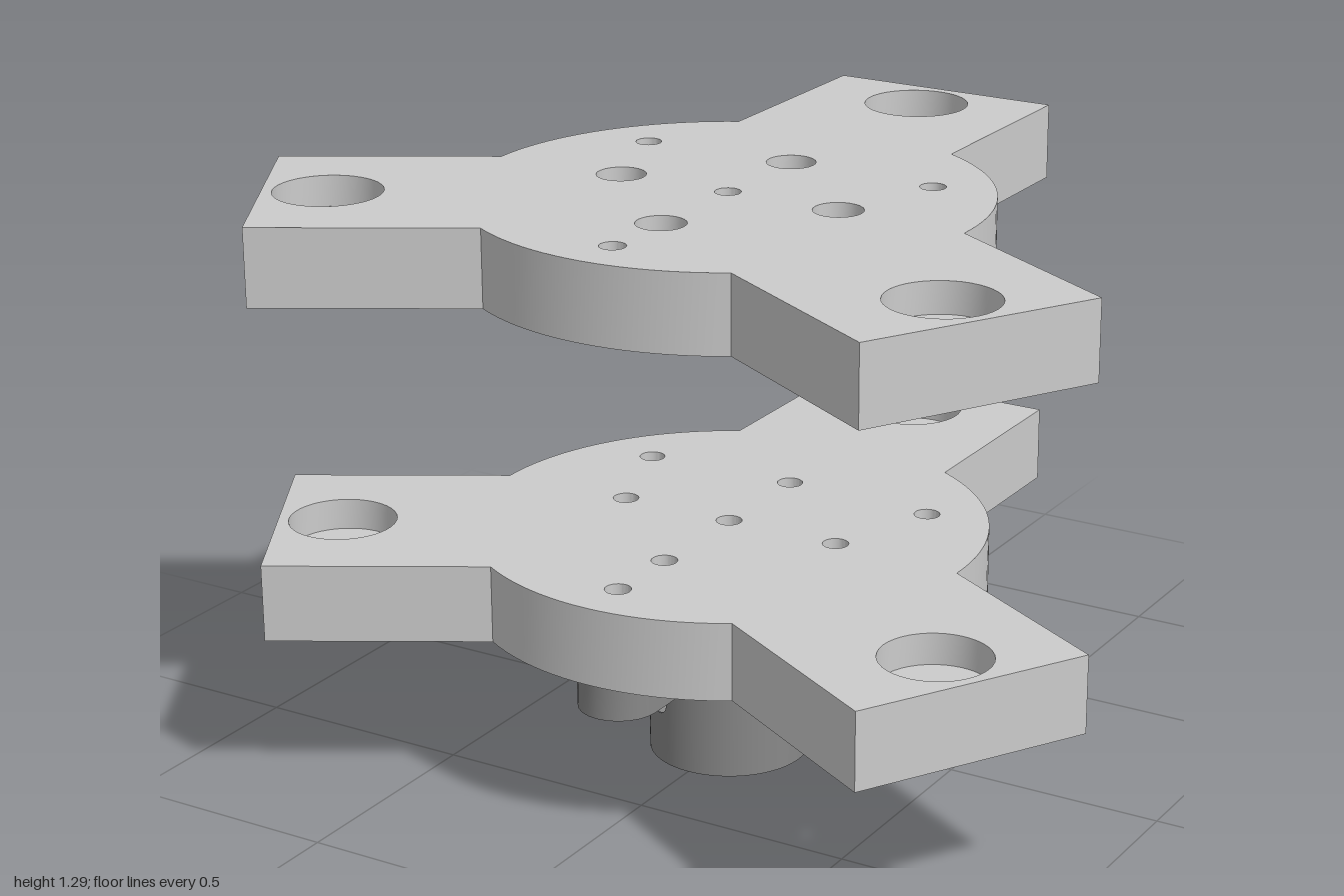
import * as THREE from 'three';
import { mergeGeometries, toCreasedNormals } from 'three/addons/utils/BufferGeometryUtils.js';

const THIRD = Math.PI * 2 / 3;
const CENTER_Z = 0.125;
const light = new THREE.MeshStandardMaterial({ color: 0xcccccc });
const dark = new THREE.MeshStandardMaterial({ color: 0x888888 });
const darkInside = new THREE.MeshStandardMaterial({ color: 0x888888, side: THREE.DoubleSide });

// Plan coordinates: x is right, plan y is towards the back (-z).
const polar = (r, a) => new THREE.Vector2(r * Math.cos(a), r * Math.sin(a));
const local = (x, y, a) => new THREE.Vector2(x, y).rotateAround(new THREE.Vector2(), a);

function circle(c, r, n = 24) {
  return Array.from({ length: n }, (_, i) => polar(r, i / n * Math.PI * 2).add(c));
}

// Rounded slot running from distance d0 to d1 along direction a
function slot(d0, d1, r, a) {
  const pts = [];
  for (let i = 0; i <= 12; i++) {
    const t = -Math.PI / 2 + i / 12 * Math.PI;
    pts.push(local(d1 - r + r * Math.cos(t), r * Math.sin(t), a));
  }
  for (let i = 0; i <= 12; i++) {
    const t = Math.PI / 2 + i / 12 * Math.PI;
    pts.push(local(d0 + r + r * Math.cos(t), r * Math.sin(t), a));
  }
  return pts;
}

// Flat face at height y, facing up or down
function cap(points, holes, y, up) {
  const shape = new THREE.Shape(points);
  shape.holes = holes.map(h => new THREE.Path(h));
  const g = new THREE.ShapeGeometry(shape).rotateX(-Math.PI / 2).translate(0, y, 0);
  if (!up) g.setIndex(Array.from(g.index.array).reverse());
  g.deleteAttribute('uv');
  g.deleteAttribute('normal');
  return g.toNonIndexed();
}

// Upright wall along a closed counter-clockwise loop
function wall(points, y0, y1, inward = false) {
  const pos = [];
  points.forEach((a, i) => {
    let p = a, q = points[(i + 1) % points.length];
    if (inward) [p, q] = [q, p];
    pos.push(p.x, y0, -p.y, q.x, y0, -q.y, q.x, y1, -q.y);
    pos.push(p.x, y0, -p.y, q.x, y1, -q.y, p.x, y1, -p.y);
  });
  const g = new THREE.BufferGeometry();
  g.setAttribute('position', new THREE.Float32BufferAttribute(pos, 3));
  return g;
}

// Disc outline with three square-ended arms
function plateOutline() {
  const R = 0.575, half = 0.274, len = 0.998;
  const s = Math.asin(half / R), pts = [];
  for (let k = 0; k < 3; k++) {
    const a = Math.PI / 2 + k * THIRD;
    pts.push(local(len, -half, a), local(len, half, a));
    for (let i = 0; i <= 20; i++) pts.push(polar(R, a + s + i / 20 * (THIRD - 2 * s)));
  }
  return pts;
}

const hubTips = [new THREE.Vector2(0, -0.455), new THREE.Vector2(0.36, 0.255), new THREE.Vector2(-0.36, 0.255)];

// Plate with bolt holes, round pockets above and slots below each arm
function makePlate(name, y0, y1, boresOnTop) {
  const outline = plateOutline(), parts = [wall(outline, y0, y1)];
  const topHoles = [], bottomHoles = [];

  // Plain through holes
  for (const c of [new THREE.Vector2(), ...hubTips]) {
    const h = circle(c, 0.029);
    topHoles.push(h);
    bottomHoles.push(h);
    parts.push(wall(h, y0, y1, true));
  }
  // Four counterbored holes
  for (let k = 0; k < 4; k++) {
    const c = polar(0.27, k * Math.PI / 2), h = circle(c, 0.029), bore = circle(c, 0.055);
    const ym = boresOnTop ? y1 - 0.09 : y0 + 0.09;
    (boresOnTop ? topHoles : bottomHoles).push(bore);
    (boresOnTop ? bottomHoles : topHoles).push(h);
    parts.push(cap(bore, [h], ym, boresOnTop));
    parts.push(wall(boresOnTop ? h : bore, y0, ym, true), wall(boresOnTop ? bore : h, ym, y1, true));
  }
  // Arm pockets, slots and pin holes
  for (let k = 0; k < 3; k++) {
    const a = Math.PI / 2 + k * THIRD, c = polar(0.855, a);
    const pocket = circle(c, 0.12, 40), groove = slot(0.54, 0.965, 0.05, a), pin = circle(c, 0.019, 16);
    const yp = y1 - 0.07, ys = y0 + 0.07;
    topHoles.push(pocket);
    bottomHoles.push(groove);
    parts.push(wall(pocket, yp, y1, true), cap(pocket, [pin], yp, true));
    parts.push(wall(groove, y0, ys, true), cap(groove, [pin], ys, false), wall(pin, ys, yp, true));
  }
  parts.push(cap(outline, topHoles, y1, true), cap(outline, bottomHoles, y0, false));
  const mesh = new THREE.Mesh(toCreasedNormals(mergeGeometries(parts), 0.5), light);
  mesh.name = name;
  return mesh;
}

// Curved panel of the hub wall, centred on +x, with a round hole
function holedPanel(R, H, holeY, r, halfAngle) {
  const n = 8, rings = 6, pos = [], nor = [], idx = [];
  const corners = [[-1, -1], [1, -1], [1, 1], [-1, 1]];
  const count = n * 4;
  for (let j = 0; j <= rings; j++) {
    for (let i = 0; i < count; i++) {
      const p = corners[Math.floor(i / n)], q = corners[(Math.floor(i / n) + 1) % 4], f = (i % n) / n;
      const x = p[0] + (q[0] - p[0]) * f, y = p[1] + (q[1] - p[1]) * f, l = Math.hypot(x, y), t = j / rings;
      const a = THREE.MathUtils.lerp(Math.asin(r * x / l / R), halfAngle * x, t);
      const v = THREE.MathUtils.lerp(holeY + r * y / l, y < 0 ? holeY * (1 + y) : holeY + (H - holeY) * y, t);
      pos.push(R * Math.cos(a), v, -R * Math.sin(a));
      nor.push(Math.cos(a), 0, -Math.sin(a));
      if (j < rings) {
        const b = j * count + i, d = j * count + (i + 1) % count;
        idx.push(b, b + count, d, d, b + count, d + count);
      }
    }
  }
  const g = new THREE.BufferGeometry();
  g.setAttribute('position', new THREE.Float32BufferAttribute(pos, 3));
  g.setAttribute('normal', new THREE.Float32BufferAttribute(nor, 3));
  g.setIndex(idx);
  return g;
}

function makeHub() {
  const hub = new THREE.Group();
  hub.name = 'hub';
  const add = (name, geo, mat = dark) => {
    const m = new THREE.Mesh(geo, mat);
    m.name = name;
    hub.add(m);
    return m;
  };
  const R = 0.18, H = 0.365, holeY = 0.145, half = 0.35, boreTop = 0.25;

  // Barrel wall with three radial screw holes
  for (let k = 0; k < 3; k++) {
    add('barrelPanel', holedPanel(R, H, holeY, 0.03, half)).rotation.y = k * THIRD;
    const span = new THREE.CylinderGeometry(R, R, H, 20, 1, true, Math.PI / 2 + half, THIRD - 2 * half);
    add('barrelWall', span.translate(0, H / 2, 0)).rotation.y = k * THIRD;
    const tube = new THREE.CylinderGeometry(0.03, 0.03, 0.138, 24, 1, true).rotateZ(Math.PI / 2);
    add('screwHole', tube.translate(0.109, holeY, 0), darkInside).rotation.y = k * THIRD;
  }
  // Barrel ends and blind shaft bore
  const rim = circle(new THREE.Vector2(), R, 64), bore = circle(new THREE.Vector2(), 0.04);
  const ends = [cap(rim, [], H, true), cap(rim, [bore], 0, false), wall(bore, 0, boreTop, true), cap(bore, [], boreTop, false)];
  add('barrelEnds', toCreasedNormals(mergeGeometries(ends), 0.5));

  // Mounting arms with a bolt hole at each rounded tip
  for (const tip of hubTips) {
    const d = tip.length(), a = tip.angle(), r = 0.09, y0 = 0.275;
    const outline = [local(0.1, -r, a), ...slot(0, d + r, r, a).slice(0, 13), local(0.1, r, a)];
    const hole = circle(tip, 0.029);
    const parts = [wall(outline, y0, H), wall(hole, y0, H, true), cap(outline, [hole], H, true), cap(outline, [hole], y0, false)];
    add('mountingArm', toCreasedNormals(mergeGeometries(parts), 0.5));
  }
  return hub;
}

export function createModel() {
  const model = new THREE.Group();
  model.name = 'plateAssembly';
  model.add(makePlate('upperPlate', 1.12, 1.295, true), makePlate('lowerPlate', 0.365, 0.54, false), makeHub());
  model.children.forEach(c => { c.position.z = CENTER_Z; });
  return model;
}
